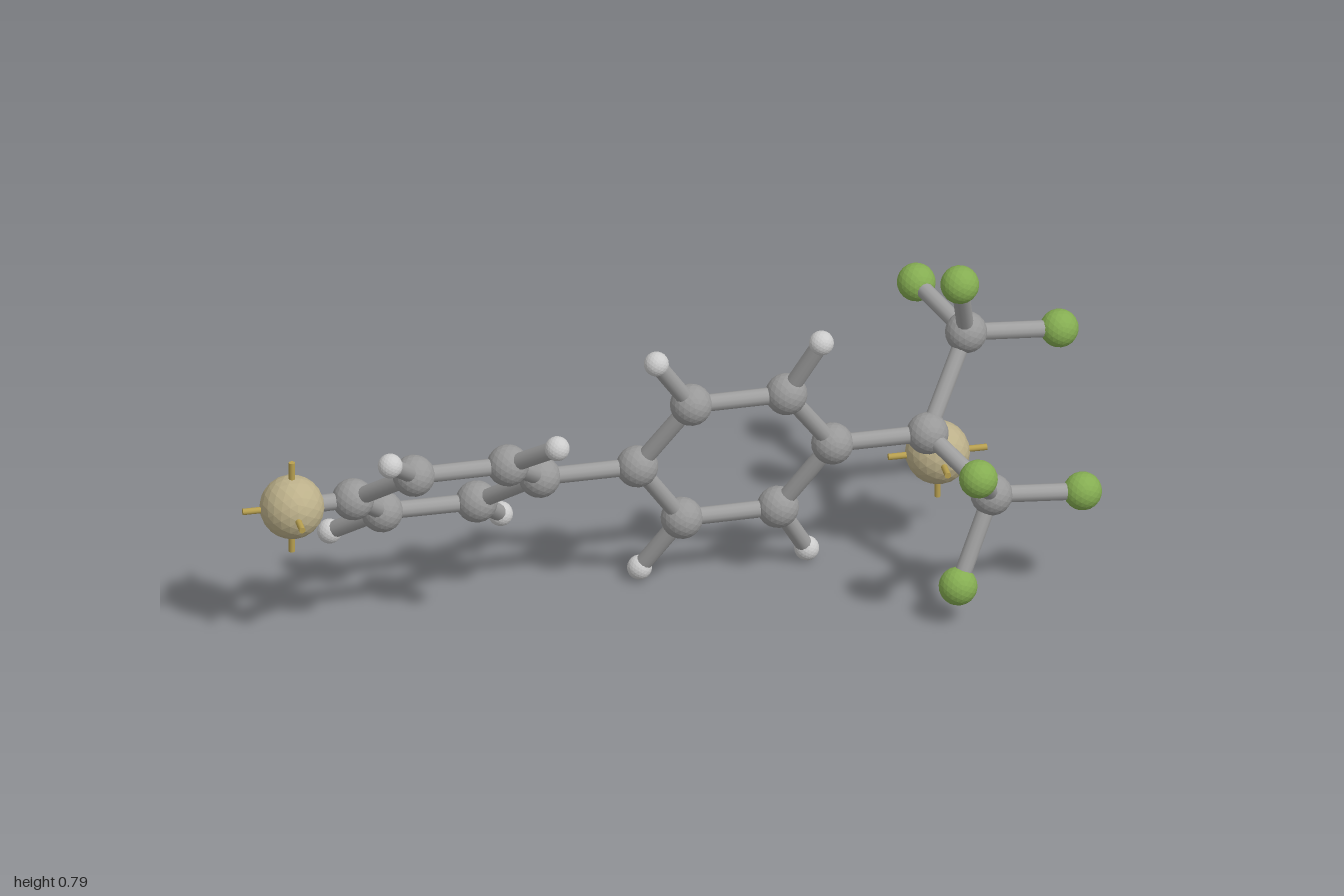
import * as THREE from 'three';

const material = (color) => new THREE.MeshStandardMaterial({ color, flatShading: true });

// Atom kinds: radius and colour
const KINDS = {
  carbon: { radius: 0.049, mat: material(0x999999) },
  hydrogen: { radius: 0.029, mat: material(0xcccccc) },
  fluorine: { radius: 0.045, mat: material(0x85ad52) },
  linker: { radius: 0.075, mat: material(0xbcb08a) },
};
const BOND = new THREE.MeshStandardMaterial({ color: 0xa0a0a0 });
const PIN = new THREE.MeshStandardMaterial({ color: 0xb8a050 });

for (const kind of Object.values(KINDS)) kind.geo = new THREE.IcosahedronGeometry(kind.radius, 3);

export function createModel() {
  const model = new THREE.Group();
  model.name = 'molecule';

  const group = (name) => {
    const g = new THREE.Group();
    g.name = name;
    model.add(g);
    return g;
  };

  const atom = (parent, kind, p) => {
    const mesh = new THREE.Mesh(KINDS[kind].geo, KINDS[kind].mat);
    mesh.name = kind + 'Atom';
    mesh.position.set(...p);
    parent.add(mesh);
    return mesh.position;
  };

  // Straight rod between two points
  const rod = (parent, name, a, b, radius, mat) => {
    const dir = b.clone().sub(a);
    const mesh = new THREE.Mesh(new THREE.CylinderGeometry(radius, radius, dir.length(), 12), mat);
    mesh.name = name;
    mesh.position.copy(a).addScaledVector(dir, 0.5);
    mesh.quaternion.setFromUnitVectors(new THREE.Vector3(0, 1, 0), dir.normalize());
    parent.add(mesh);
  };
  const bond = (parent, a, b) => rod(parent, 'bond', a, b, 0.02, BOND);

  // Six-carbon ring; hydrogens hang on corners 1, 2, 4 and 5
  const ring = (name, carbons, hydrogens) => {
    const g = group(name);
    const c = carbons.map((p) => atom(g, 'carbon', p));
    c.forEach((p, i) => bond(g, p, c[(i + 1) % 6]));
    [1, 2, 4, 5].forEach((corner, i) => bond(g, c[corner], atom(g, 'hydrogen', hydrogens[i])));
    return c;
  };

  // Carbon carrying three fluorines
  const trifluoro = (name, root, centre, fluorines) => {
    const g = group(name);
    const c = atom(g, 'carbon', centre);
    bond(g, root, c);
    for (const p of fluorines) bond(g, c, atom(g, 'fluorine', p));
  };

  // Large end sphere with pins along the three axes
  const linker = (name, root, centre) => {
    const g = group(name);
    const c = atom(g, 'linker', centre);
    bond(g, root, c);
    for (const axis of [[1, 0, 0], [0, 1, 0], [0, 0, 1]]) {
      const v = new THREE.Vector3(...axis).multiplyScalar(0.116);
      rod(g, 'pin', c.clone().sub(v), c.clone().add(v), 0.0075, PIN);
    }
  };

  const ringA = ring('rightRing', [
    [-0.74, 0.36, 0.0], [-0.628, 0.487, 0.145], [-0.404, 0.482, 0.133],
    [-0.297, 0.357, -0.02], [-0.414, 0.227, -0.166], [-0.639, 0.233, -0.155],
  ], [
    [-0.709, 0.586, 0.264], [-0.313, 0.578, 0.249], [-0.334, 0.126, -0.277], [-0.74, 0.136, -0.26],
  ]);

  const ringB = ring('leftRing', [
    [-0.067, 0.357, -0.022], [0.047, 0.538, 0.038], [0.272, 0.538, 0.034],
    [0.393, 0.362, -0.026], [0.277, 0.178, -0.083], [0.05, 0.178, -0.078],
  ], [
    [-0.045, 0.682, 0.087], [0.345, 0.688, 0.079], [0.356, 0.033, -0.135], [-0.039, 0.032, -0.127],
  ]);

  // Bridge between the rings and the branching carbon
  const bridge = group('bridge');
  bond(bridge, ringA[3], ringB[0]);
  const branch = atom(bridge, 'carbon', [0.617, 0.363, -0.026]);
  bond(bridge, ringB[3], branch);

  trifluoro('upperBranch', branch, [0.73, 0.56, -0.13],
    [[0.692, 0.747, -0.022], [0.953, 0.535, -0.148], [0.658, 0.585, -0.342]]);
  trifluoro('lowerBranch', branch, [0.724, 0.3, 0.178],
    [[0.658, 0.437, 0.343], [0.94, 0.28, 0.17], [0.634, 0.098, 0.231]]);

  linker('rightLinker', ringA[0], [-0.886, 0.362, 0.01]);
  linker('leftLinker', branch, [0.661, 0.257, -0.122]);

  return model;
}
